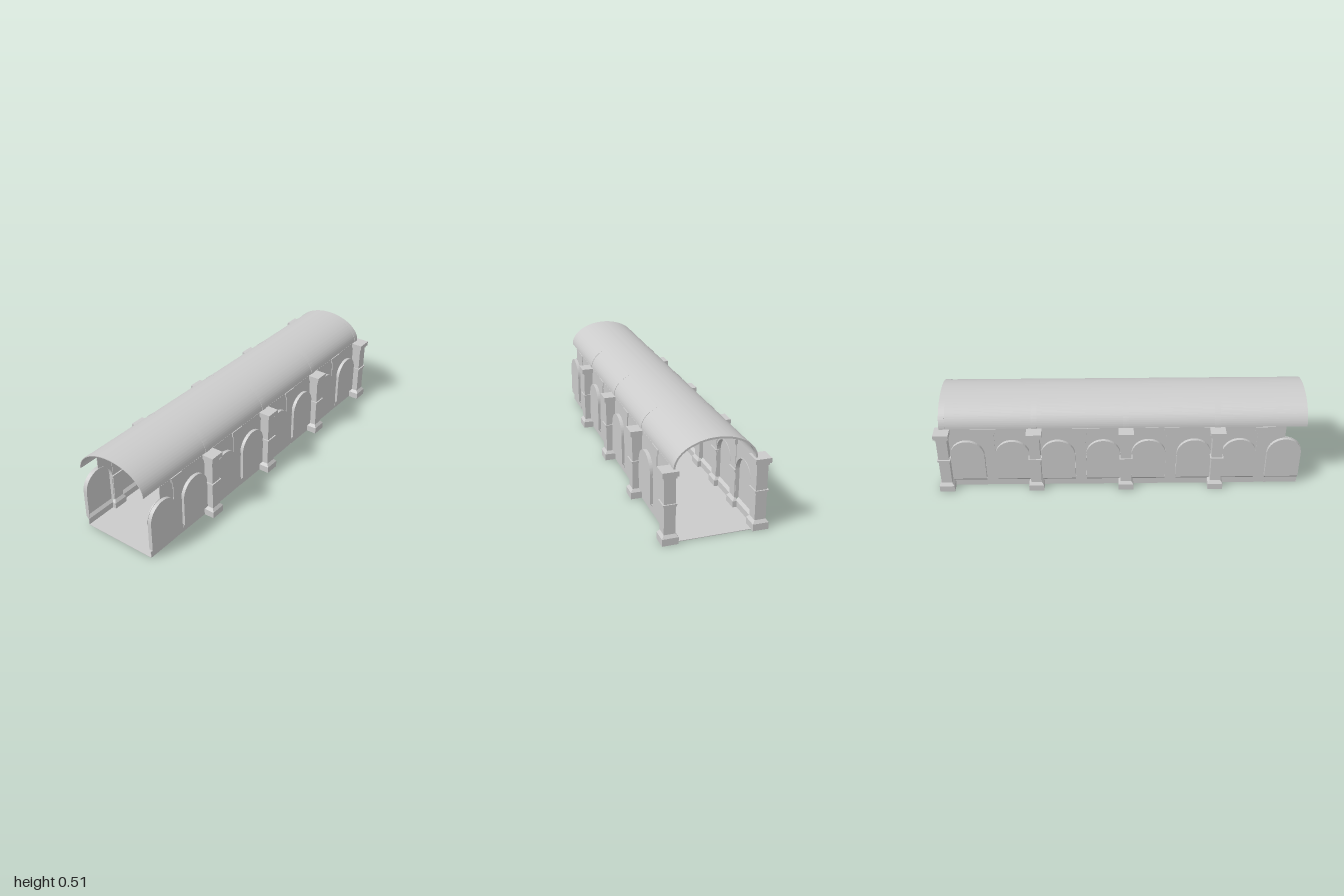
import * as THREE from 'three';
import { toCreasedNormals } from 'three/addons/utils/BufferGeometryUtils.js';

const material = new THREE.MeshStandardMaterial({ color: 0xcccccc, side: THREE.DoubleSide });
const BAY = 0.4925, FIRST = 0.518, HALF = BAY / 4;
const R = 0.0915, SPRING = 0.21, BASE = 0.052, TOP = 0.375;

function add(parent, name, geometry, x = 0, y = 0, z = 0) {
  const mesh = new THREE.Mesh(geometry, material);
  mesh.name = name;
  mesh.position.set(x, y, z);
  parent.add(mesh);
  return mesh;
}

function extrude(shape, depth, curveSegments = 24) {
  return new THREE.ExtrudeGeometry(shape, { depth, curveSegments, bevelEnabled: false });
}

const smooth = (g) => toCreasedNormals(g, 0.5);

// Shape drawn in the side plane, thickened from x = x0 to x1
function sidePlate(shape, x0, x1) {
  return smooth(extrude(shape, x1 - x0).rotateY(Math.PI / 2).translate(x0, 0, 0));
}

// Round-headed opening standing on y = bottom
function archShape(r, bottom) {
  const s = new THREE.Shape();
  s.moveTo(-r, bottom);
  s.lineTo(r, bottom);
  s.lineTo(r, SPRING);
  s.absarc(0, SPRING, r, 0, Math.PI, false);
  s.closePath();
  return s;
}

// Open band following the arch
function archBand(rOut, rIn, bottom) {
  const s = new THREE.Shape();
  s.moveTo(rOut, bottom);
  s.lineTo(rOut, SPRING);
  s.absarc(0, SPRING, rOut, 0, Math.PI, false);
  s.lineTo(-rOut, bottom);
  s.lineTo(-rIn, bottom);
  s.lineTo(-rIn, SPRING);
  s.absarc(0, SPRING, rIn, Math.PI, 0, true);
  s.lineTo(rIn, bottom);
  s.closePath();
  return s;
}

// Wall above one half of an arch; dir picks the side
function spandrelShape(dir) {
  const s = new THREE.Shape();
  s.moveTo(0, TOP);
  s.lineTo(dir * HALF, TOP);
  s.lineTo(dir * HALF, SPRING);
  s.lineTo(dir * R, SPRING);
  for (let i = 1; i <= 16; i++) {
    const a = (i / 16) * Math.PI / 2;
    s.lineTo(dir * R * Math.cos(a), SPRING + R * Math.sin(a));
  }
  s.closePath();
  return s;
}

// Square pillar turned from a profile of [half width, height]
function pillarGeometry() {
  const profile = [
    [0, 0], [0.041, 0], [0.041, 0.036], [0.029, BASE], [0.029, 0.195],
    [0.033, 0.195], [0.033, 0.205], [0.036, 0.205], [0.036, 0.209], [0.029, 0.209],
    [0.029, 0.338], [0.033, 0.338], [0.033, 0.35], [0.041, 0.35], [0.041, TOP], [0, TOP],
  ].map(([r, y]) => new THREE.Vector2(r * Math.SQRT2, y));
  const g = new THREE.LatheGeometry(profile, 4, Math.PI / 4);
  return toCreasedNormals(g.translate(0.229, 0, 0), 0.2);
}

// Half pillar: the outer part is pressed flat against the wall
function pilasterGeometry() {
  const g = pillarGeometry();
  const p = g.attributes.position;
  for (let i = 0; i < p.count; i++) p.setX(i, Math.min(p.getX(i), 0.211));
  g.computeVertexNormals();
  return g;
}

// Elliptical vault strip running along z
function vault(a, b, thickness, length) {
  const s = new THREE.Shape();
  s.moveTo(a, TOP);
  s.absellipse(0, TOP, a, b, 0, Math.PI, false, 0);
  s.lineTo(-a + thickness, TOP);
  s.absellipse(0, TOP, a - thickness, b - thickness, Math.PI, 0, true, 0);
  s.closePath();
  return smooth(extrude(s, length, 40));
}

export function createModel() {
  const model = new THREE.Group();
  model.name = 'vaultedArcade';

  const pillarGeo = pillarGeometry();
  const pilasterGeo = pilasterGeometry();
  const panelGeo = sidePlate(archShape(R, BASE), 0.222, 0.225);
  const rimGeo = sidePlate(archBand(R + 0.001, R - 0.002, BASE), 0.203, 0.225);
  const trimGeo = sidePlate(archBand(R + 0.003, R - 0.002, SPRING), 0.2, 0.205);
  const spandrelGeos = [1, -1].map((d) => sidePlate(spandrelShape(d), 0.203, 0.207));

  // Sloping plinth under each niche
  const plinth = new THREE.Shape([
    [0.209, 0], [0.212, 0], [0.212, 0.036], [0.225, BASE], [0.222, BASE], [0.209, 0.037],
  ].map(([x, y]) => new THREE.Vector2(x, y)));
  const plinthGeo = extrude(plinth, R * 2).translate(0, 0, -R);

  // One long wall on each side, mirrored
  for (const side of [1, -1]) {
    const wall = new THREE.Group();
    wall.name = side > 0 ? 'leftWall' : 'rightWall';
    wall.scale.x = side;
    for (let k = 0; k < 4; k++) {
      const z = FIRST - k * BAY;
      add(wall, 'pillar', pillarGeo, 0, 0, z);
      add(wall, 'pilaster', pilasterGeo, 0, 0, z + BAY / 2);
      for (const c of [z + HALF, z + 3 * HALF]) {
        add(wall, 'nichePanel', panelGeo, 0, 0, c);
        add(wall, 'nicheRim', rimGeo, 0, 0, c);
        add(wall, 'archTrim', trimGeo, 0, 0, c);
        add(wall, 'plinth', plinthGeo, 0, 0, c);
        add(wall, 'spandrel', spandrelGeos[0], 0, 0, c);
        // The front end stops at the crown of its last arch
        if (c < 0.8) add(wall, 'spandrel', spandrelGeos[1], 0, 0, c);
      }
    }
    model.add(wall);
  }

  // Floor slab
  add(model, 'floor', new THREE.BoxGeometry(0.42, 0.003, 1.96), 0, 0.0015, 0);

  // Barrel roof with a rib over every pair of pillars
  add(model, 'roof', vault(0.206, 0.133, 0.004, 1.975), 0, 0, -0.975);
  const ribGeo = vault(0.2085, 0.1325, 0.0095, 0.032);
  for (let k = 0; k < 4; k++) add(model, 'roofRib', ribGeo, 0, 0, FIRST - k * BAY - 0.016);

  return model;
}
